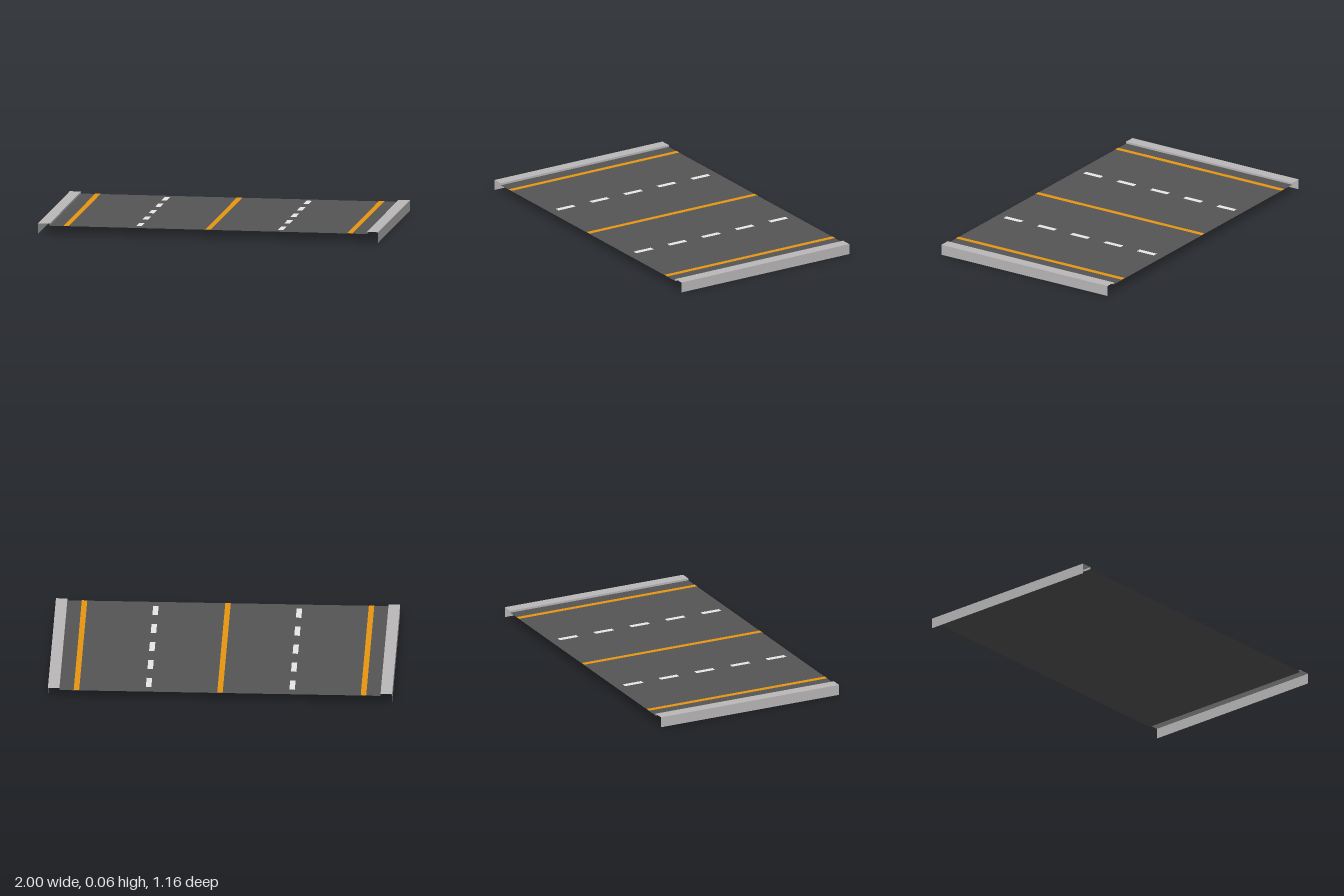
import * as THREE from 'three';

const HALF_LENGTH = 0.58;
const ROAD_Y = 0.05;
const KERB_Y = 0.062;
const KERB_INNER = 0.933;

function material(name, color, side = THREE.FrontSide) {
  const m = new THREE.MeshStandardMaterial({ color, side });
  m.name = name;
  return m;
}

// Sweeps an open [x, y] profile along z with hard edges between its faces
function sweep(name, profile, mat, z0 = -HALF_LENGTH, z1 = HALF_LENGTH) {
  const positions = [];
  for (let i = 0; i + 1 < profile.length; i++) {
    const [ax, ay] = profile[i];
    const [bx, by] = profile[i + 1];
    positions.push(ax, ay, z1, bx, by, z1, bx, by, z0);
    positions.push(ax, ay, z1, bx, by, z0, ax, ay, z0);
  }
  const geometry = new THREE.BufferGeometry();
  geometry.setAttribute('position', new THREE.Float32BufferAttribute(positions, 3));
  geometry.computeVertexNormals();
  const mesh = new THREE.Mesh(geometry, mat);
  mesh.name = name;
  return mesh;
}

export function createModel() {
  const group = new THREE.Group();
  group.name = 'roadSection';

  const asphalt = material('asphalt', 0x555555, THREE.DoubleSide);
  const concrete = material('concrete', 0xbab8b8, THREE.DoubleSide);
  const orange = material('orangePaint', 0xffa513);
  const white = material('whitePaint', 0xffffff);

  // Road surface
  group.add(sweep('roadSurface', [[-KERB_INNER, ROAD_Y], [KERB_INNER, ROAD_Y]], asphalt));

  // Kerbs: outer wall, top and low inner lip, open at the ends
  group.add(sweep('rightKerb',
    [[-1, 0], [-1, KERB_Y], [-KERB_INNER, KERB_Y], [-KERB_INNER, ROAD_Y]], concrete));
  group.add(sweep('leftKerb',
    [[KERB_INNER, ROAD_Y], [KERB_INNER, KERB_Y], [1, KERB_Y], [1, 0]], concrete));

  // Painted markings lie just above the road
  const paint = (name, x, mat, z0, z1) => {
    const y = ROAD_Y + 0.002;
    group.add(sweep(name, [[x - 0.016, y], [x + 0.016, y]], mat, z0, z1));
  };

  // Solid edge lines and centre line
  paint('rightEdgeLine', -0.834, orange);
  paint('centreLine', 0, orange);
  paint('leftEdgeLine', 0.834, orange);

  // Dashed lane lines
  for (const side of [-1, 1]) {
    for (let i = -2; i <= 2; i++) {
      const z = i * 0.2325;
      paint('laneDash', side * 0.417, white, z - 0.06, z + 0.06);
    }
  }

  return group;
}
